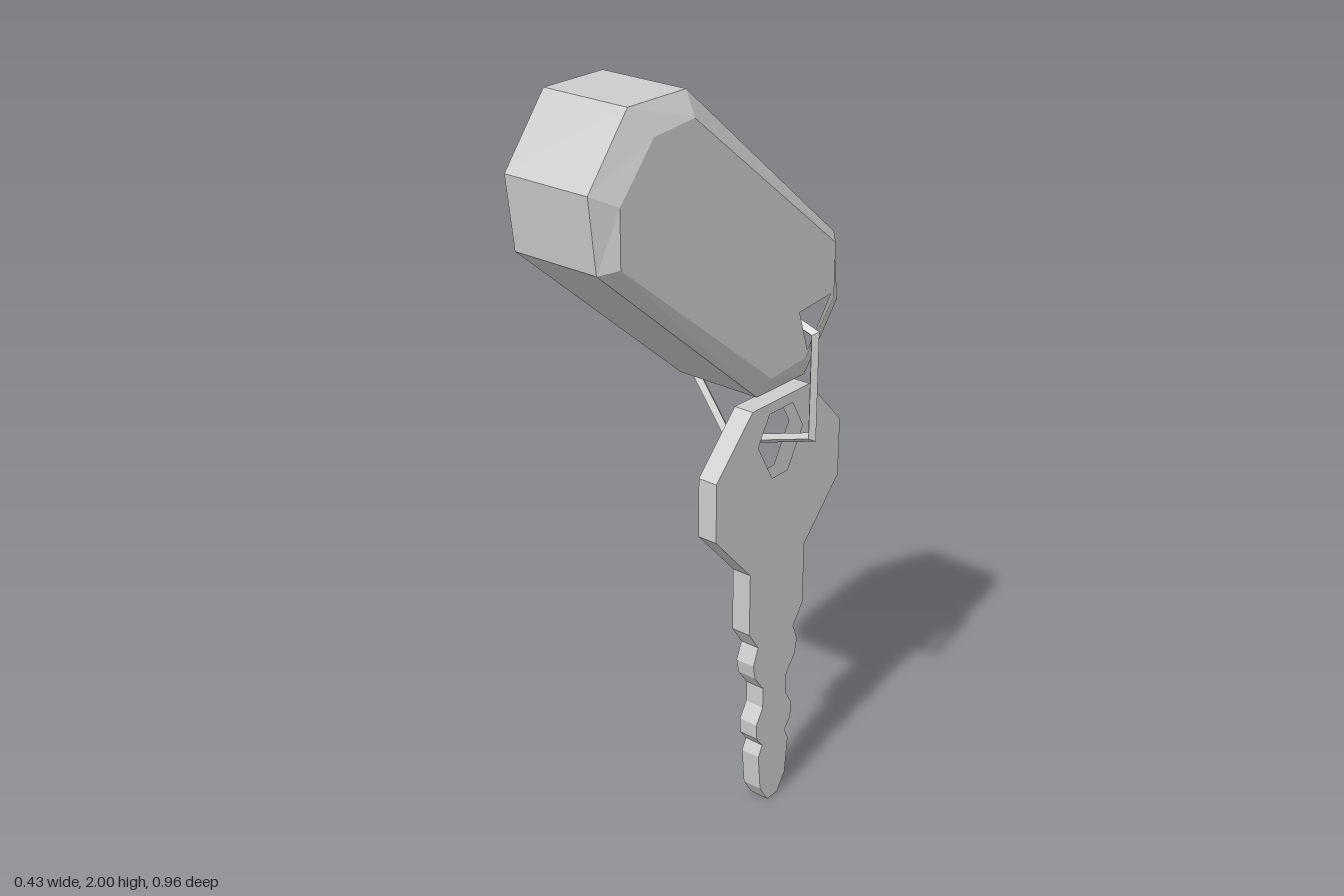
import * as THREE from 'three';

const material = new THREE.MeshStandardMaterial({ color: 0xcccccc, flatShading: true });
const points = (list) => list.map(([u, v]) => new THREE.Vector2(u, v));

// Profiles are drawn as (u = -z, v = y); this turns their extrusion toward +x.
function sideMesh(geometry, name, x, y, z) {
  const mesh = new THREE.Mesh(geometry, material);
  mesh.name = name;
  mesh.rotation.y = Math.PI / 2;
  mesh.position.set(x, y, z);
  return mesh;
}

// Half an outline plus its point-symmetric other half.
const pointSymmetric = (half) => points([...half, ...half.map(([u, v]) => [-u, -v])]);

// Bevelled fob: the small end outline is extruded, its middle layers widened to the full outline.
function createFob() {
  const full = pointSymmetric([[-0.307, 0.389], [-0.127, 0.389], [0.407, -0.061], [0.429, -0.235]]);
  const end = pointSymmetric([[-0.265, 0.325], [-0.138, 0.336], [0.37, -0.071], [0.37, -0.204]]);
  const width = 0.296, bevel = 0.033;
  const shape = new THREE.Shape(end);
  shape.holes.push(new THREE.Path(points([[0.238, -0.204], [0.357, -0.193], [0.272, -0.307]])));
  const geometry = new THREE.ExtrudeGeometry(shape, { depth: width, steps: 3, bevelEnabled: false });
  const pos = geometry.attributes.position;
  for (let i = 0; i < pos.count; i++) {
    const layer = Math.round((pos.getZ(i) / width) * 3);
    if (layer === 0 || layer === 3) continue;
    pos.setZ(i, layer === 1 ? bevel : width - bevel);
    const k = end.findIndex((p) => Math.hypot(p.x - pos.getX(i), p.y - pos.getY(i)) < 1e-4);
    if (k >= 0) pos.setXY(i, full[k].x, full[k].y);
  }
  geometry.computeVertexNormals();
  return sideMesh(geometry, 'fob', -0.1, 1.608, 0.048);
}

// Key: mirrored outline with a six-sided eye, and a groove cut into the right face of the blade.
function createKey() {
  const half = [
    [0.111, 1.15], [0.243, 1.01], [0.243, 0.855], [0.109, 0.71], [0.109, 0.54],
    [0.072, 0.487], [0.09, 0.44], [0.082, 0.4], [0.048, 0.355], [0.048, 0.297],
    [0.073, 0.255], [0.07, 0.212], [0.047, 0.182], [0.062, 0.152], [0.052, 0.048], [0.021, 0],
  ];
  const outline = points([...half, ...half.map(([u, v]) => [-u, v]).reverse()]);
  const eye = points([
    [-0.045, 1.122], [0.045, 1.122], [0.087, 1.048], [0.03, 0.947], [-0.03, 0.947], [-0.087, 1.048],
  ]);
  const groove = points([[-0.012, 0.54], [0.012, 0.54], [0.012, 0.02], [-0.012, 0.02]]);
  const layer = (name, x, depth, holes) => {
    const shape = new THREE.Shape(outline);
    shape.holes = holes.map((h) => new THREE.Path(h));
    const geometry = new THREE.ExtrudeGeometry(shape, { depth, bevelEnabled: false });
    return sideMesh(geometry, name, x, 0, -0.238);
  };
  const key = new THREE.Group();
  key.name = 'key';
  key.add(layer('groovedFace', 0.06, 0.012, [eye, groove]), layer('keyBody', 0.072, 0.042, [eye]));
  return key;
}

// Five-sided ring of square wire, standing on edge.
function createRing() {
  const ring = new THREE.Mesh(new THREE.TorusGeometry(0.225, 0.014, 4, 5), material);
  ring.name = 'ring';
  ring.rotation.z = Math.PI;
  ring.position.set(0.024, 1.206, -0.24);
  return ring;
}

export function createModel() {
  const model = new THREE.Group();
  model.name = 'keyWithFob';
  model.add(createFob(), createKey(), createRing());
  return model;
}
